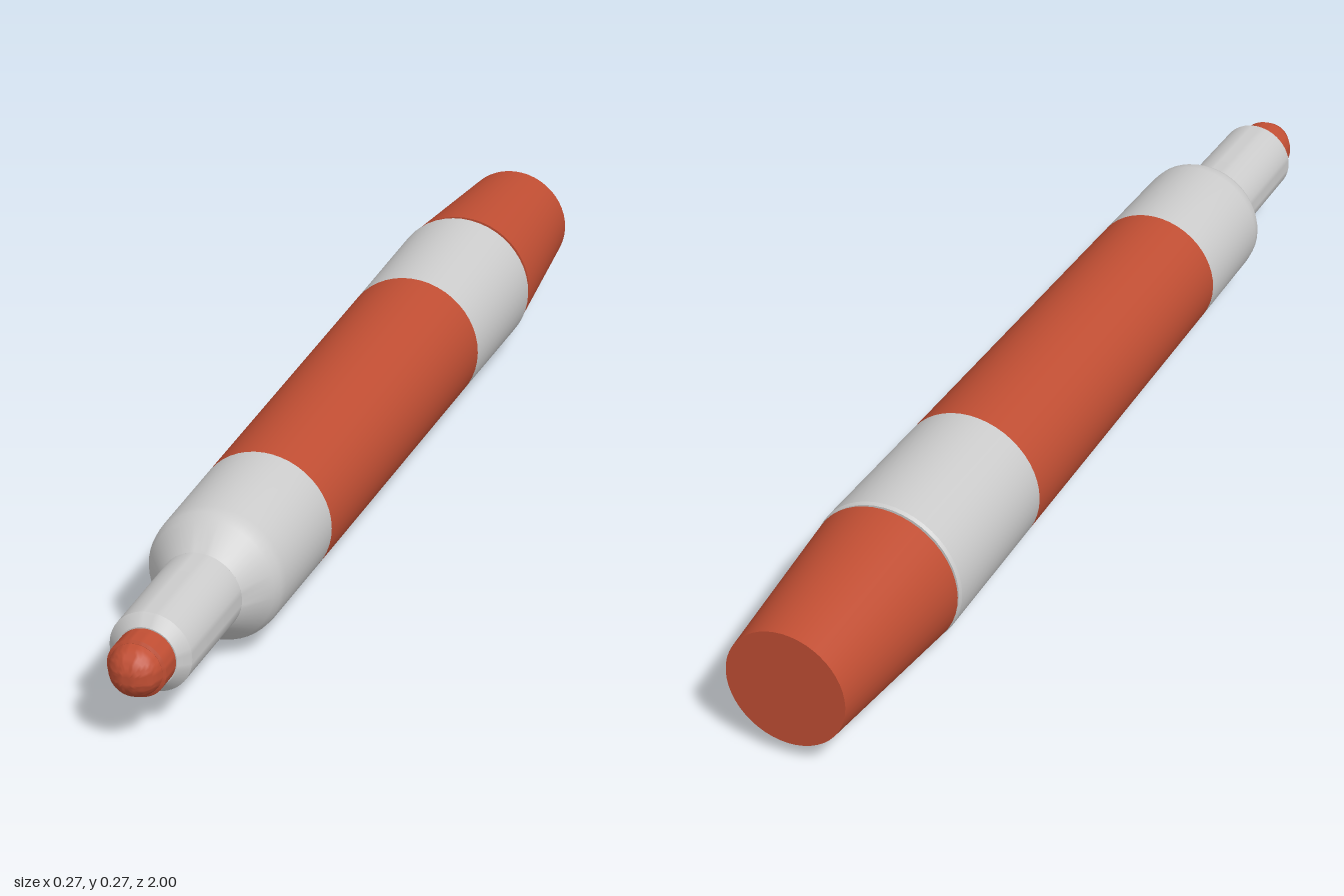
import * as THREE from 'three';
import { toCreasedNormals } from 'three/addons/utils/BufferGeometryUtils.js';

export function createModel() {
  const model = new THREE.Group();
  const R = 0.136;
  const grey = new THREE.MeshStandardMaterial({ color: 0xcccccc });
  const red = new THREE.MeshStandardMaterial({ color: 0xc04e33 });

  // Turned part: profile of [radius, z] pairs from back to front
  function turned(name, material, profile) {
    const points = profile.map(([r, z]) => new THREE.Vector2(r, z));
    const geometry = new THREE.LatheGeometry(points, 48).rotateX(Math.PI / 2);
    const mesh = new THREE.Mesh(toCreasedNormals(geometry, 0.45), material);
    mesh.name = name;
    mesh.position.y = R;
    model.add(mesh);
  }

  // Tapered end plug, flat at the back
  turned('endPlug', red, [[0, -1], [0.107, -1], [0.134, -0.667], [0, -0.667]]);

  // Barrel: rear band, coloured sleeve, front band with rounded shoulder
  turned('rearBand', grey, [[0, -0.661], [0.133, -0.661], [R, -0.655], [0.131, -0.355]]);
  turned('sleeve', red, [[0.131, -0.355], [0.121, 0.407]]);
  turned('frontBand', grey, [
    [0.121, 0.407], [0.118, 0.615], [0.116, 0.632], [0.109, 0.645], [0.072, 0.693], [0, 0.693],
  ]);

  // Narrow nib holder with a small chamfer
  turned('nibHolder', grey, [[0.072, 0.69], [0.07, 0.9], [0.052, 0.918], [0, 0.918]]);

  // Nib collar and domed nib
  turned('nibCollar', red, [[0.05, 0.915], [0.05, 0.957], [0.045, 0.96], [0, 0.96]]);
  const dome = [];
  for (let i = 0; i <= 10; i++) {
    const a = (i / 10) * Math.PI / 2;
    dome.push([0.045 * Math.cos(a), 0.955 + 0.045 * Math.sin(a)]);
  }
  turned('nibTip', red, dome);

  return model;
}
